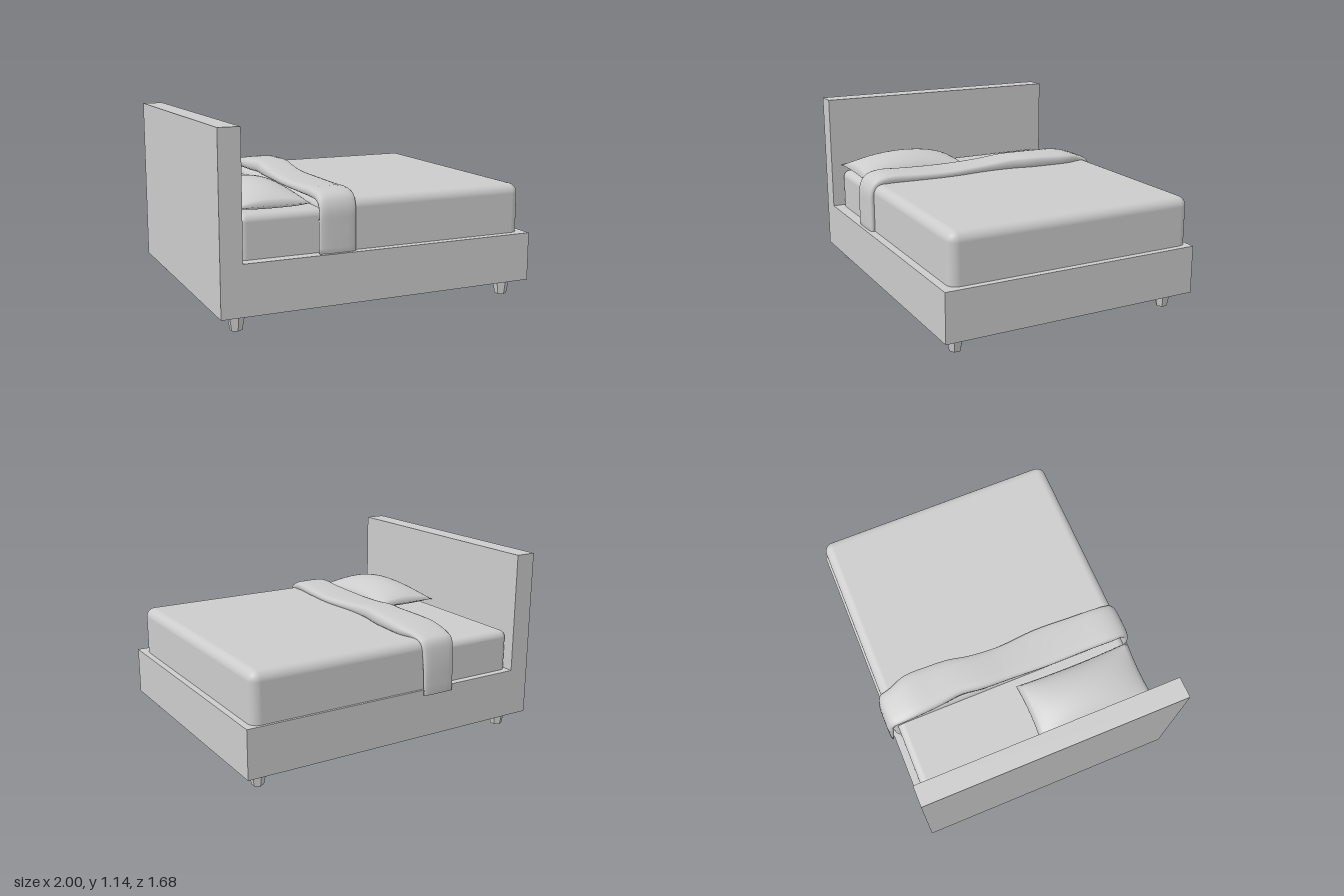
import * as THREE from 'three';
import { RoundedBoxGeometry } from 'three/addons/geometries/RoundedBoxGeometry.js';
import { ParametricGeometry } from 'three/addons/geometries/ParametricGeometry.js';

const material = new THREE.MeshStandardMaterial({ color: 0xcccccc });
const legMaterial = new THREE.MeshStandardMaterial({ color: 0xcccccc, flatShading: true });
const clothMaterial = new THREE.MeshStandardMaterial({ color: 0xcccccc, side: THREE.DoubleSide });

export function createModel() {
  const bed = new THREE.Group();
  bed.name = 'bed';

  const add = (name, geometry, mat = material) => {
    const mesh = new THREE.Mesh(geometry, mat);
    mesh.name = name;
    bed.add(mesh);
    return mesh;
  };
  // A box given by its lower and upper corners, rounded when a radius is given
  const slab = (name, lo, hi, radius = 0) => {
    const size = hi.map((h, i) => h - lo[i]);
    const geometry = radius
      ? new RoundedBoxGeometry(...size, 4, radius)
      : new THREE.BoxGeometry(...size);
    add(name, geometry).position.set(...hi.map((h, i) => (h + lo[i]) / 2));
  };

  // Frame and headboard
  slab('bedFrame', [-0.87, 0.1, -0.815], [1, 0.4, 0.84]);
  slab('headboard', [-1, 0.1, -0.815], [-0.87, 1.145, 0.84]);

  // Tapered six-sided legs
  for (const x of [-0.88, 0.88]) {
    for (const z of [-0.69, 0.73]) {
      add('leg', new THREE.CylinderGeometry(0.056, 0.036, 0.11, 6), legMaterial)
        .position.set(x, 0.055, z);
    }
  }

  // Mattress, and the thicker duvet that covers most of it
  slab('mattress', [-0.865, 0.25, -0.77], [0.5, 0.655, 0.77], 0.045);
  slab('duvet', [-0.385, 0.25, -0.8], [0.96, 0.705, 0.79], 0.06);

  add('pillow', pillowGeometry(), clothMaterial).position.set(-0.65, 0.69, 0.39);
  add('foldedBlanket', blanketGeometry(), clothMaterial);
  return bed;
}

// Cushion with pinched edges: a closed surface, upper half then lower half
function pillowGeometry() {
  return new ParametricGeometry((s, t, target) => {
    const upper = s <= 0.5;
    const u = upper ? 4 * s - 1 : 3 - 4 * s;
    const v = 2 * t - 1;
    const bulge = Math.max(0, (1 - u * u) * (1 - v * v));
    const x = u * 0.21 * (1 - 0.05 * (1 - v * v));
    const z = v * 0.385 * (1 - 0.03 * (1 - u * u));
    const y = upper ? 0.105 * bulge ** 0.6 : -0.04 * bulge ** 0.4;
    target.set(x, y, z);
  }, 48, 24);
}

// Folded band draped across the bed: rounded sections swept from side to side
function blanketGeometry() {
  // Each station: z and y of the outer face, z and y of the inner face, x from, x to
  const stations = [
    [0.82, 0.39, 0.78, 0.39, -0.405, -0.175],
    [0.82, 0.55, 0.78, 0.55, -0.405, -0.175],
    [0.815, 0.66, 0.775, 0.64, -0.40, -0.175],
    [0.78, 0.725, 0.74, 0.68, -0.40, -0.17],
    [0.70, 0.755, 0.68, 0.69, -0.405, -0.165],
    [0.50, 0.75, 0.50, 0.69, -0.40, -0.155],
    [0.25, 0.745, 0.25, 0.69, -0.40, -0.145],
    [0.0, 0.755, 0.0, 0.69, -0.39, -0.165],
    [-0.2, 0.775, -0.2, 0.69, -0.385, -0.155],
    [-0.33, 0.78, -0.33, 0.69, -0.37, -0.13],
    [-0.47, 0.775, -0.47, 0.69, -0.385, -0.12],
    [-0.63, 0.765, -0.62, 0.69, -0.395, -0.12],
    [-0.74, 0.735, -0.71, 0.685, -0.395, -0.155],
    [-0.81, 0.70, -0.775, 0.66, -0.39, -0.165],
    [-0.835, 0.60, -0.79, 0.60, -0.385, -0.17],
    [-0.84, 0.37, -0.815, 0.37, -0.38, -0.17],
  ];
  const curves = [[0, 1, 4], [2, 3, 5]].map((ids) =>
    new THREE.CatmullRomCurve3(stations.map((p) => new THREE.Vector3(...ids.map((i) => p[i])))));

  const rows = 60, sides = 20;
  const positions = [], indices = [];
  for (let r = 0; r <= rows; r++) {
    const [outer, inner] = curves.map((c) => c.getPoint(r / rows));
    for (let k = 0; k < sides; k++) {
      // Squarish oval section
      const a = (k / sides) * Math.PI * 2;
      const across = Math.sign(Math.cos(a)) * Math.abs(Math.cos(a)) ** 0.6;
      const out = Math.sign(Math.sin(a)) * Math.abs(Math.sin(a)) ** 0.6;
      const x = THREE.MathUtils.lerp(outer.z, inner.z, (across + 1) / 2);
      const w = (out + 1) / 2;
      positions.push(x, THREE.MathUtils.lerp(inner.y, outer.y, w), THREE.MathUtils.lerp(inner.x, outer.x, w));
      if (r < rows) {
        const i = r * sides + k, j = r * sides + ((k + 1) % sides);
        indices.push(i, i + sides, j, j, i + sides, j + sides);
      }
    }
  }
  // Close both hanging ends
  const last = rows * sides;
  for (let k = 1; k < sides - 1; k++) {
    indices.push(0, k, k + 1, last, last + k + 1, last + k);
  }
  const geometry = new THREE.BufferGeometry();
  geometry.setAttribute('position', new THREE.Float32BufferAttribute(positions, 3));
  geometry.setIndex(indices);
  geometry.computeVertexNormals();
  return geometry;
}
